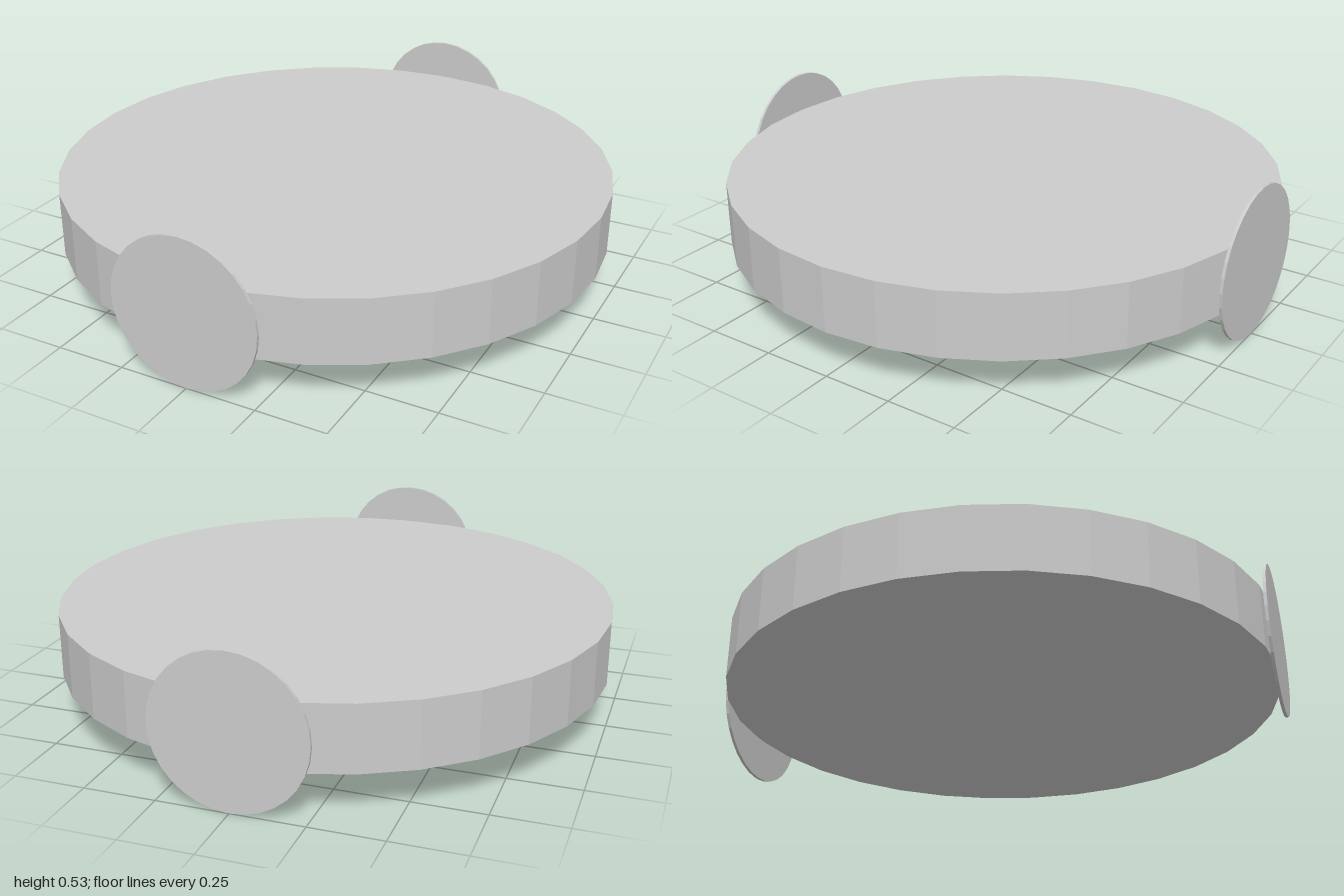
import * as THREE from 'three';

export function createModel() {
  const model = new THREE.Group();
  const material = new THREE.MeshStandardMaterial({ color: 0xcccccc, flatShading: true });
  const wheelRadius = 0.267;
  const wheelWidth = 0.011;

  // Round faceted chassis
  const body = new THREE.Mesh(new THREE.CylinderGeometry(0.992, 0.992, 0.23, 32), material);
  body.name = 'body';
  body.position.y = 0.271;
  model.add(body);

  // Thin wheels touching the rim, front and back
  const wheelGeometry = new THREE.CylinderGeometry(wheelRadius, wheelRadius, wheelWidth, 32);
  wheelGeometry.rotateX(Math.PI / 2);
  for (const [name, side] of [['frontWheel', 1], ['backWheel', -1]]) {
    const wheel = new THREE.Mesh(wheelGeometry, material);
    wheel.name = name;
    wheel.position.set(0, wheelRadius, side * (1 - wheelWidth / 2));
    model.add(wheel);
  }

  return model;
}
